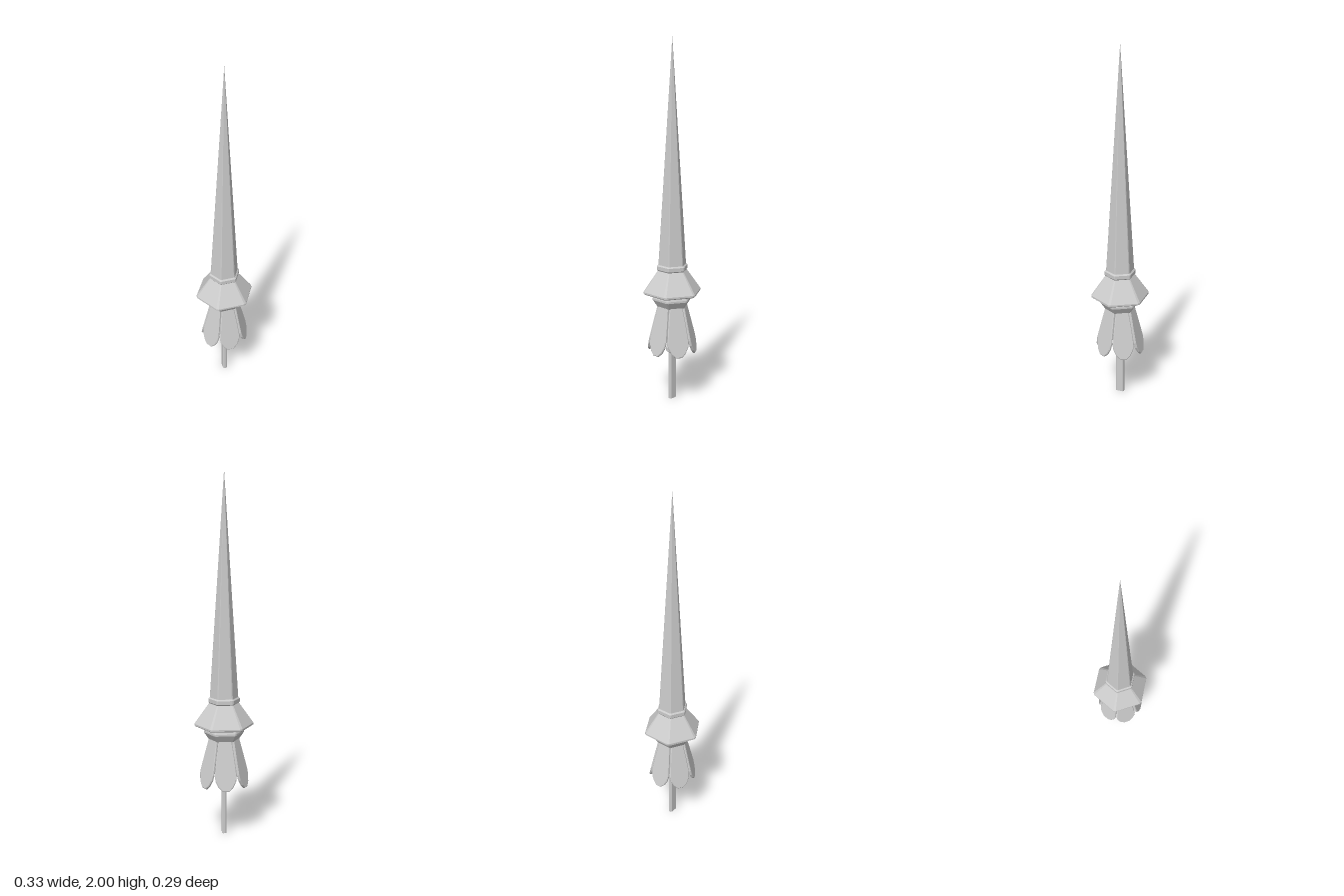
import * as THREE from 'three';

const material = new THREE.MeshStandardMaterial({ color: 0xcccccc, flatShading: true, side: THREE.DoubleSide });

// Six-sided turned part with narrow chamfers on its corners; profile is [radius, y] from bottom to top
function hexPart(name, profile, chamfer = 0.045) {
  const points = profile.map(([r, y]) => new THREE.Vector2(r, y));
  const geometry = new THREE.LatheGeometry(points, 12);
  const pos = geometry.attributes.position;
  for (let i = 0; i <= 12; i++) {
    const angle = Math.PI / 6 + Math.floor(i / 2) * Math.PI / 3 + (i % 2 ? chamfer : -chamfer);
    points.forEach((p, j) =>
      pos.setXYZ(i * points.length + j, p.x * Math.sin(angle), p.y, p.x * Math.cos(angle)));
  }
  geometry.computeVertexNormals();
  const mesh = new THREE.Mesh(geometry, material);
  mesh.name = name;
  return mesh;
}

// Thin leaf hanging down from its root at the origin
function petalGeometry() {
  const half = [[0.036, 0], [0.05, -0.1], [0.06, -0.19], [0.056, -0.222], [0.04, -0.255], [0.018, -0.277]];
  const outline = [...half, ...half.map(([x, y]) => [-x, y]).reverse()];
  const shape = new THREE.Shape(outline.map(([x, y]) => new THREE.Vector2(x, y)));
  const geometry = new THREE.ExtrudeGeometry(shape, {
    depth: 0.008, bevelEnabled: true, bevelSize: 0.004, bevelThickness: 0.004, bevelOffset: -0.004, bevelSegments: 1,
  });
  return geometry.translate(0, 0, -0.004);
}

export function createModel() {
  const model = new THREE.Group();
  model.name = 'lance';

  // Long tapering spike
  model.add(hexPart('spike', [[0, 0.775], [0.079, 0.775], [0, 2]]));

  // Band at the foot of the spike
  model.add(hexPart('band', [[0, 0.752], [0.082, 0.752], [0.087, 0.758], [0.087, 0.778], [0.08, 0.785], [0, 0.785]]));

  // Flared guard with a hollow underside
  model.add(hexPart('guard', [
    [0, 0.635], [0.118, 0.635], [0.13, 0.622], [0.155, 0.622], [0.163, 0.628], [0.163, 0.637], [0.08, 0.755], [0, 0.755],
  ]));

  // Collar holding the petals
  model.add(hexPart('collar', [
    [0, 0.548], [0.085, 0.548], [0.112, 0.588], [0.112, 0.598], [0.1, 0.625], [0.09, 0.64], [0, 0.64],
  ]));

  // Six petals, one under each flat of the collar
  const leaf = petalGeometry();
  const petals = new THREE.Group();
  petals.name = 'petals';
  for (let i = 0; i < 6; i++) {
    const arm = new THREE.Group();
    arm.name = 'petal';
    arm.rotation.y = i * Math.PI / 3;
    const mesh = new THREE.Mesh(leaf, material);
    mesh.position.set(0, 0.555, 0.068);
    mesh.rotation.x = -0.225;
    arm.add(mesh);
    petals.add(arm);
  }
  model.add(petals);

  // Knob and core rod between the petals
  const core = hexPart('knob', [
    [0, 0.25], [0.016, 0.255], [0.02, 0.275], [0.031, 0.285], [0.031, 0.305], [0.018, 0.35], [0.018, 0.56], [0, 0.56],
  ], 0.1);
  core.scale.z = 1.25;
  model.add(core);

  // Flat handle with chamfered corners
  const w = 0.0125, d = 0.025, c = 0.006;
  const section = new THREE.Shape([
    [w, d - c], [w - c, d], [c - w, d], [-w, d - c], [-w, c - d], [c - w, -d], [w - c, -d], [w, c - d],
  ].map(([x, y]) => new THREE.Vector2(x, y)));
  const handle = new THREE.Mesh(
    new THREE.ExtrudeGeometry(section, { depth: 0.28, bevelEnabled: false }).rotateX(-Math.PI / 2), material);
  handle.name = 'handle';
  model.add(handle);

  return model;
}
